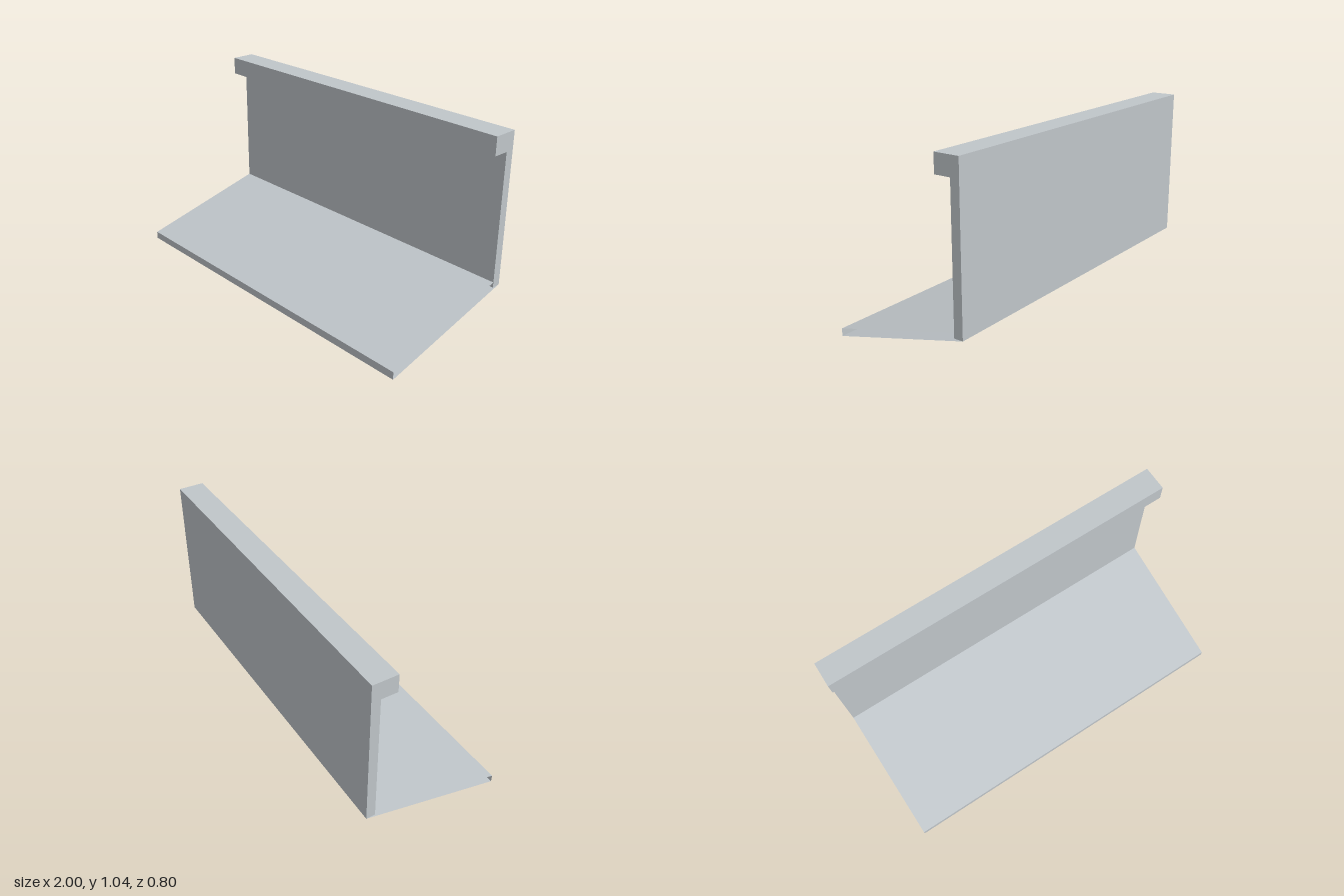
import * as THREE from 'three';

const WIDTH = 2;

// Solid part: a [z, y] outline extruded along the full width
function extrudeAcross(outline) {
  const shape = new THREE.Shape(outline.map(([z, y]) => new THREE.Vector2(z, y)));
  const geometry = new THREE.ExtrudeGeometry(shape, { depth: WIDTH, bevelEnabled: false });
  return geometry.rotateY(-Math.PI / 2).translate(WIDTH / 2, 0, 0);
}

// Open-ended sheet: a [z, y] path swept along the full width, one flat strip per segment
function sweepAcross(path) {
  const h = WIDTH / 2, positions = [];
  for (let i = 0; i < path.length - 1; i++) {
    const [za, ya] = path[i], [zb, yb] = path[i + 1];
    positions.push(-h, ya, za, -h, yb, zb, h, yb, zb);
    positions.push(-h, ya, za, h, yb, zb, h, ya, za);
  }
  const geometry = new THREE.BufferGeometry();
  geometry.setAttribute('position', new THREE.Float32BufferAttribute(positions, 3));
  geometry.computeVertexNormals();
  return geometry;
}

export function createModel() {
  const group = new THREE.Group();
  const grey = new THREE.MeshStandardMaterial({ color: 0xc0c6ca, side: THREE.DoubleSide });
  grey.name = 'light grey';

  // Upright wall with the lip projecting forward along its top
  const wall = new THREE.Mesh(extrudeAcross([
    [-0.4, 0.2], [-0.35, 0.2], [-0.35, 0.945], [-0.26, 0.945], [-0.26, 1.045], [-0.4, 1.045],
  ]), grey);
  wall.name = 'wallWithLip';

  // Sloping shelf, hollow with open ends
  const shelf = new THREE.Mesh(sweepAcross([
    [-0.35, 0.23], [0.4, 0.042], [0.4, 0], [-0.4, 0.2],
  ]), grey);
  shelf.name = 'slopingShelf';

  group.add(wall, shelf);
  return group;
}
